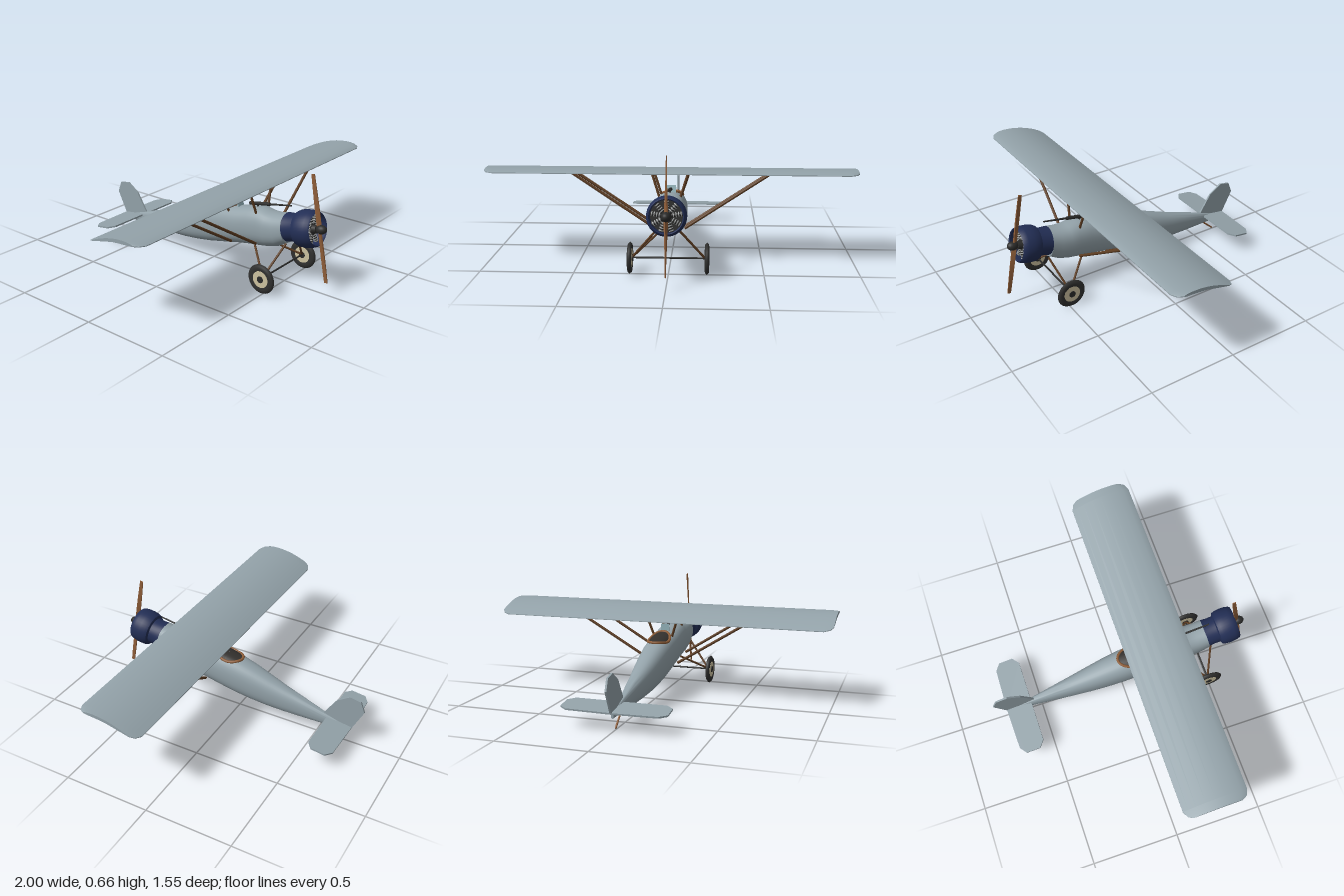
import * as THREE from 'three';
import { toCreasedNormals } from 'three/addons/utils/BufferGeometryUtils.js';

const V = (x, y, z) => new THREE.Vector3(x, y, z);
const paint = (name, color, side = THREE.FrontSide) =>
  Object.assign(new THREE.MeshStandardMaterial({ color, side }), { name });

// Fuselage stations: z, half width, top y, bottom y
const stations = [
  [0.518, 0.08, 0.402, 0.245], [0.46, 0.083, 0.392, 0.208], [0.4, 0.086, 0.391, 0.19],
  [0.35, 0.087, 0.402, 0.18], [0.28, 0.088, 0.392, 0.17], [0.2, 0.088, 0.372, 0.155],
  [0.1, 0.088, 0.357, 0.132], [0, 0.085, 0.335, 0.11], [-0.1, 0.077, 0.303, 0.093],
  [-0.2, 0.066, 0.265, 0.081], [-0.3, 0.053, 0.228, 0.075], [-0.4, 0.04, 0.195, 0.072],
  [-0.55, 0.02, 0.145, 0.07], [-0.685, 0.007, 0.102, 0.07],
];
const ROUND = 2.4; // squareness of the fuselage section

// Height of the upper skin at x, z
function skinTop(x, z) {
  let i = 0;
  while (i < stations.length - 2 && stations[i + 1][0] > z) i++;
  const [a, b] = [stations[i], stations[i + 1]];
  const t = (a[0] - z) / (a[0] - b[0]);
  const [hw, top, bot] = [1, 2, 3].map(k => a[k] + (b[k] - a[k]) * t);
  const f = Math.max(0, 1 - Math.abs(x / hw) ** ROUND) ** (1 / ROUND);
  return (top + bot) / 2 + (top - bot) / 2 * f;
}

// Skins a list of closed rings and caps both ends
function loft(rings) {
  const n = rings[0].length, last = (rings.length - 1) * n;
  const points = rings.flat(), index = [];
  for (let i = 0; i < rings.length - 1; i++) {
    for (let j = 0; j < n; j++) {
      const k = (j + 1) % n, a = i * n;
      index.push(a + j, a + n + j, a + k, a + k, a + n + j, a + n + k);
    }
  }
  for (const ring of [rings[0], rings[rings.length - 1]]) {
    points.push(ring.reduce((s, p) => s.add(p), V(0, 0, 0)).divideScalar(n));
  }
  const c = rings.length * n;
  for (let j = 0; j < n; j++) {
    const k = (j + 1) % n;
    index.push(c, j, k, c + 1, last + k, last + j);
  }
  const geo = new THREE.BufferGeometry().setFromPoints(points);
  geo.setIndex(index);
  return toCreasedNormals(geo, 0.7);
}

// Thin plate from an outline
function plate(outline, depth) {
  const shape = new THREE.Shape(outline.map(([x, y]) => new THREE.Vector2(x, y)));
  return new THREE.ExtrudeGeometry(shape, { depth, bevelEnabled: false }).translate(0, 0, -depth / 2);
}

export function createModel() {
  const model = new THREE.Group();
  model.name = 'monoplane';
  const fabric = paint('grey fabric', 0x93a2a9);
  const navy = paint('navy cowling', 0x222e55, THREE.DoubleSide);
  const propWood = paint('propeller wood', 0x8e5d38);
  const strutWood = paint('strut wood', 0x5e3d22);
  const black = paint('dark metal', 0x2b2b2a);
  const rubber = paint('tyre rubber', 0x30302f);
  const cream = paint('cream wheel disc', 0xcdc2a0);
  const steel = paint('steel', 0xa3a6a6);
  const dark = paint('cockpit dark', 0x33302d, THREE.DoubleSide);
  const glass = paint('windscreen', 0x9fc0c8);

  const add = (name, geo, mat, parent = model) => {
    const mesh = new THREE.Mesh(geo, mat);
    mesh.name = name;
    parent.add(mesh);
    return mesh;
  };
  const rod = (name, a, b, r, mat, r2 = r) => {
    const d = b.clone().sub(a);
    const mesh = add(name, new THREE.CylinderGeometry(r2, r, d.length(), 10), mat);
    mesh.position.copy(a).addScaledVector(d, 0.5);
    mesh.quaternion.setFromUnitVectors(V(0, 1, 0), d.normalize());
  };

  // Fuselage, its front rings leaning to meet the tilted cowling
  add('fuselage', loft(stations.map(([z, hw, top, bot]) => {
    const lean = 0.19 * Math.max(0, (z - 0.36) / 0.16);
    return Array.from({ length: 36 }, (_, j) => {
      const a = j / 36 * Math.PI * 2;
      const p = v => Math.sign(v) * Math.abs(v) ** (2 / ROUND);
      const dy = (top - bot) / 2 * p(Math.sin(a));
      return V(hw * p(Math.cos(a)), (top + bot) / 2 + dy, z - lean * dy);
    });
  })), fabric);

  // Cambered wing with clipped corners
  const wingPoint = (x, t, side, trim) => {
    const u = trim + t * (1 - 2 * trim);
    const thick = 0.002 + 0.02 * Math.sqrt(t) * (1 - t);
    return V(x, 0.507 + 0.05 * u - 0.11 * u * u + side * thick, 0.373 - 0.353 * u);
  };
  const chord = [0, 0.03, 0.1, 0.2, 0.35, 0.5, 0.65, 0.8, 0.92, 1];
  const tips = [[-1, 0.12], [-0.985, 0.045], [-0.95, 0], [0.95, 0], [0.985, 0.045], [1, 0.12]];
  add('wing', loft(tips.map(([x, trim]) => [
    ...chord.map(t => wingPoint(x, t, 1, trim)),
    ...[...chord].reverse().map(t => wingPoint(x, t, -1, trim)),
  ])), fabric);

  // Tailplane and fin
  const half = [[0.25, 0.565], [0.29, 0.597], [0.29, 0.68], [0.25, 0.71], [0, 0.717]];
  const mirrored = half.slice(0, 4).reverse().map(([x, z]) => [-x, z]);
  const tailplane = add('tailplane', plate([...half, ...mirrored], 0.009).rotateX(-Math.PI / 2), fabric);
  tailplane.rotation.x = -0.14;
  tailplane.position.y = 0.203;
  add('fin', plate([[0.54, 0.148], [0.61, 0.258], [0.685, 0.308], [0.75, 0.296],
    [0.775, 0.232], [0.712, 0.105], [0.66, 0.1]], 0.01).rotateY(Math.PI / 2), fabric);
  rod('tailSkid', V(0, 0.082, -0.555), V(0, 0.008, -0.64), 0.005, propWood);

  // Nose group points along the thrust line
  const nose = new THREE.Group();
  nose.name = 'nose';
  nose.position.set(0, 0.366, 0.72);
  nose.rotation.x = -0.185;
  model.add(nose);
  const profile = [[0.08, -0.207], [0.077, -0.17], [0.078, -0.138], [0.093, -0.132], [0.1, -0.115],
    [0.103, -0.085], [0.101, -0.05], [0.095, -0.027], [0.088, -0.02], [0.083, -0.026], [0.084, -0.09]];
  add('cowling', toCreasedNormals(new THREE.LatheGeometry(
    profile.map(([r, z]) => new THREE.Vector2(r, z)), 40).rotateX(Math.PI / 2), 0.7), navy, nose);
  add('firewall', new THREE.CylinderGeometry(0.09, 0.09, 0.01, 32).rotateX(Math.PI / 2)
    .translate(0, 0, -0.092), black, nose);
  add('crankcase', new THREE.CylinderGeometry(0.022, 0.03, 0.06, 20).rotateX(Math.PI / 2)
    .translate(0, 0, -0.055), black, nose);
  for (let i = 0; i < 9; i++) {
    const a = i / 9 * Math.PI * 2;
    add('engineCylinder', new THREE.CylinderGeometry(0.01, 0.01, 0.058, 12)
      .translate(0, 0.053, -0.058).rotateZ(a), black, nose);
    for (const r of [0.036, 0.049, 0.062, 0.075]) {
      add('coolingFin', new THREE.CylinderGeometry(0.013, 0.013, 0.005, 12)
        .translate(0, r, -0.058).rotateZ(a), steel, nose);
    }
  }
  add('spinner', new THREE.SphereGeometry(0.025, 20, 14).scale(1, 1, 1.3), black, nose);

  // Twisted two-blade propeller
  for (const turn of [0, Math.PI]) {
    const blade = new THREE.BoxGeometry(0.009, 0.3, 0.026, 1, 10, 1).translate(0, 0.15, 0);
    const p = blade.attributes.position;
    for (let i = 0; i < p.count; i++) {
      const t = THREE.MathUtils.clamp(p.getY(i) / 0.3, 0, 1);
      const a = 0.65 * (1 - t) ** 1.5;
      const x = p.getX(i) * (1 - 0.5 * t), z = p.getZ(i) * (1 - 0.25 * t * t);
      p.setXYZ(i, x * Math.cos(a) + z * Math.sin(a), p.getY(i), z * Math.cos(a) - x * Math.sin(a) - 0.01);
    }
    blade.computeVertexNormals();
    add('propellerBlade', blade.rotateZ(turn), propWood, nose);
  }

  // Cockpit opening and rim following the skin
  const spot = (r, a) => {
    const x = 0.06 * r * Math.cos(a), z = 0.072 + 0.088 * r * Math.sin(a);
    return V(x, skinTop(x, z) + 0.004, z);
  };
  const opening = new THREE.RingGeometry(0.01, 1, 40, 5);
  const op = opening.attributes.position;
  for (let i = 0; i < op.count; i++) {
    const q = spot(Math.hypot(op.getX(i), op.getY(i)), Math.atan2(op.getY(i), op.getX(i)));
    op.setXYZ(i, q.x, q.y, q.z);
  }
  opening.computeVertexNormals();
  add('cockpitOpening', opening, dark);
  const rim = Array.from({ length: 32 }, (_, i) => spot(1, i / 16 * Math.PI));
  add('cockpitRim', new THREE.TubeGeometry(new THREE.CatmullRomCurve3(rim, true), 64, 0.008, 8, true), propWood);
  add('windscreen', new THREE.BoxGeometry(0.05, 0.045, 0.004).rotateX(-0.15).translate(0, 0.388, 0.19), glass);

  // Gun on the upper decking
  rod('gunBody', V(0, 0.403, 0.257), V(0, 0.427, 0.39), 0.01, black);
  rod('gunBarrel', V(0, 0.427, 0.39), V(0, 0.453, 0.53), 0.006, black, 0.004);
  rod('gunMount', V(0, 0.375, 0.31), V(0, 0.412, 0.31), 0.006, black);

  for (const s of [-1, 1]) {
    // Wing and cabane struts
    rod('frontWingStrut', V(s * 0.08, 0.212, 0.357), V(s * 0.535, 0.503, 0.305), 0.008, strutWood);
    rod('rearWingStrut', V(s * 0.08, 0.18, 0.187), V(s * 0.535, 0.468, 0.13), 0.008, strutWood);
    rod('frontCabaneStrut', V(s * 0.055, 0.375, 0.34), V(s * 0.098, 0.51, 0.325), 0.007, strutWood);
    rod('rearCabaneStrut', V(s * 0.055, 0.345, 0.15), V(s * 0.098, 0.472, 0.13), 0.007, strutWood);

    // Landing gear legs
    rod('frontGearLeg', V(s * 0.055, 0.255, 0.54), V(s * 0.19, 0.088, 0.487), 0.006, strutWood);
    rod('rearGearLeg', V(s * 0.055, 0.187, 0.335), V(s * 0.19, 0.088, 0.487), 0.006, strutWood);

    // Wheel
    const wheel = new THREE.Group();
    wheel.name = s > 0 ? 'leftWheel' : 'rightWheel';
    wheel.position.set(s * 0.202, 0.084, 0.487);
    model.add(wheel);
    const tyre = [[0.045, -0.009], [0.06, -0.012], [0.075, -0.01], [0.084, 0],
      [0.075, 0.01], [0.06, 0.012], [0.045, 0.009]].map(([r, y]) => new THREE.Vector2(r, y));
    add('tyre', new THREE.LatheGeometry(tyre, 36).rotateZ(Math.PI / 2), rubber, wheel);
    add('wheelDisc', new THREE.CylinderGeometry(0.048, 0.048, 0.021, 32).rotateZ(Math.PI / 2), cream, wheel);
    add('wheelHub', new THREE.CylinderGeometry(0.019, 0.019, 0.028, 20).rotateZ(Math.PI / 2), black, wheel);
  }
  rod('axle', V(-0.2, 0.086, 0.487), V(0.2, 0.086, 0.487), 0.005, black);
  return model;
}
